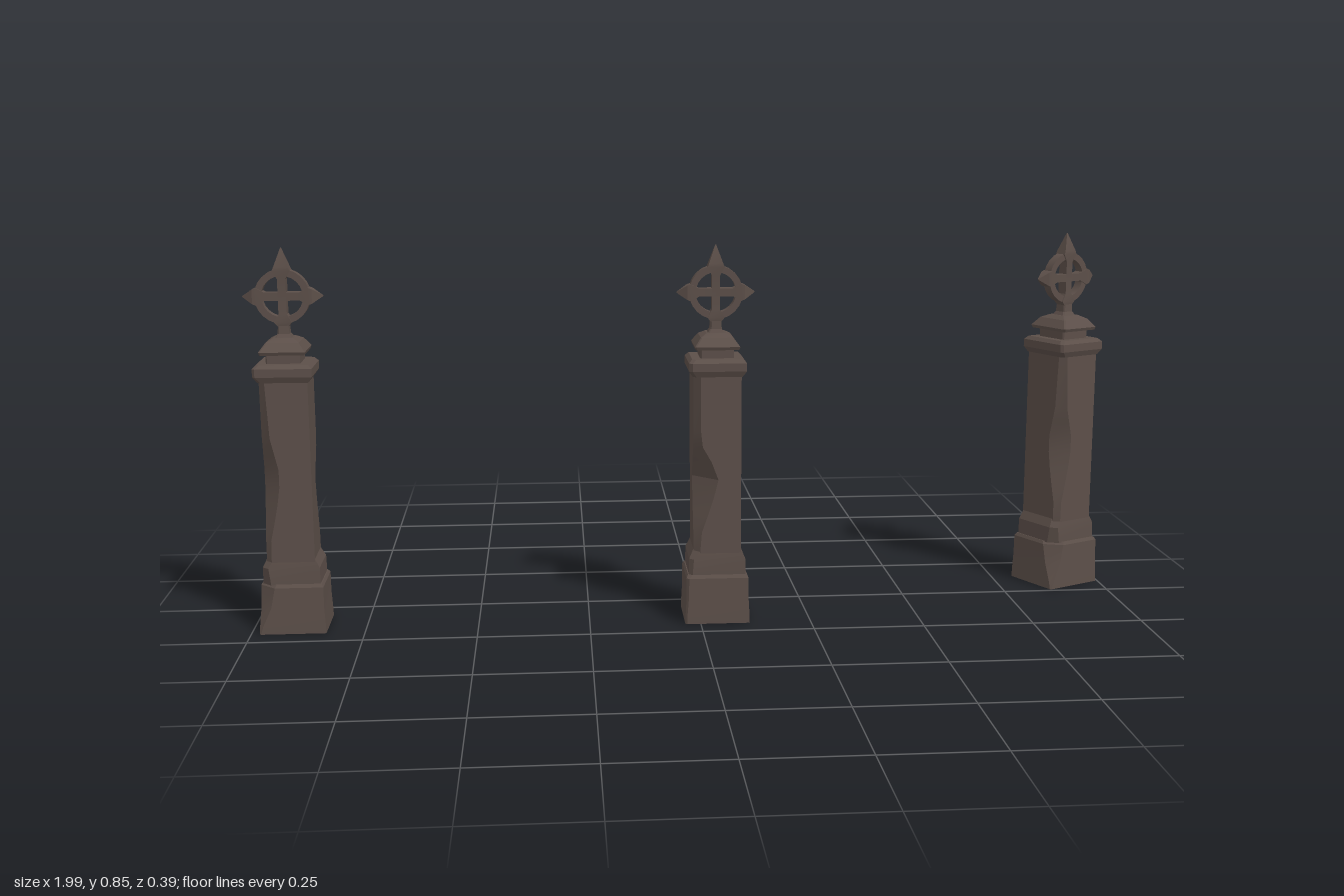
import * as THREE from 'three';
import { toCreasedNormals } from 'three/addons/utils/BufferGeometryUtils.js';

// Loft of rectangular sections [y, halfX, halfZ, chipA, chipB];
// chipA cuts the (-x,+z) corner, chipB the (+x,-z) corner.
function loft(sections) {
  const pos = [], idx = [], n = 6;
  for (const [y, hx, hz, a = 0.003, b = 0.003] of sections) {
    pos.push(hx, y, hz, hx, y, -hz + b, hx - b, y, -hz,
      -hx, y, -hz, -hx, y, hz - a, -hx + a, y, hz);
  }
  for (let i = 0; i < sections.length - 1; i++) {
    for (let j = 0; j < n; j++) {
      const p = i * n + j, q = i * n + (j + 1) % n;
      idx.push(p, q, q + n, p, q + n, p + n);
    }
  }
  const top = (sections.length - 1) * n;
  for (let j = 1; j < n - 1; j++) {
    idx.push(0, j + 1, j, top, top + j, top + j + 1);
  }
  const g = new THREE.BufferGeometry();
  g.setAttribute('position', new THREE.Float32BufferAttribute(pos, 3));
  g.setIndex(idx);
  return toCreasedNormals(g, 0.35);
}

function buildPillar(stone) {
  const pillar = new THREE.Group();
  const add = (name, geometry, parent = pillar) => {
    const mesh = new THREE.Mesh(geometry, stone);
    mesh.name = name;
    parent.add(mesh);
    return mesh;
  };

  // Block base with one worn upper corner and a flared foot
  add('base', loft([
    [0, 0.073, 0.07, 0.003, 0.004],
    [0.018, 0.0725, 0.07, 0.008, 0.004],
    [0.06, 0.07, 0.069, 0.025, 0.005],
    [0.105, 0.07, 0.068, 0.034, 0.006],
    [0.112, 0.066, 0.064, 0.034, 0.01],
  ]));
  add('plinth', loft([
    [0.11, 0.064, 0.061, 0.02, 0.008],
    [0.148, 0.063, 0.061, 0.014, 0.01],
    [0.168, 0.053, 0.058, 0.015, 0.016],
  ]));

  // Shaft with two weathered corners
  add('shaft', loft([
    [0.16, 0.053, 0.059, 0.012, 0.014],
    [0.21, 0.053, 0.059, 0.013, 0.018],
    [0.25, 0.053, 0.059, 0.022, 0.032],
    [0.29, 0.053, 0.059, 0.03, 0.045],
    [0.33, 0.053, 0.059, 0.036, 0.055],
    [0.37, 0.053, 0.059, 0.036, 0.04],
    [0.405, 0.053, 0.059, 0.028, 0.02],
    [0.44, 0.053, 0.059, 0.02, 0.016],
    [0.575, 0.053, 0.059, 0.013, 0.015],
  ]));

  // Cap, neck and sloped collar
  add('cap', loft([
    [0.563, 0.055, 0.06, 0.008, 0.008],
    [0.576, 0.064, 0.066, 0.006, 0.008],
    [0.594, 0.064, 0.066, 0.006, 0.008],
    [0.602, 0.056, 0.058, 0.006, 0.008],
  ]));
  add('neck', loft([[0.598, 0.037, 0.04], [0.626, 0.037, 0.04]]));
  add('collar', loft([
    [0.622, 0.048, 0.054], [0.629, 0.05, 0.057],
    [0.648, 0.036, 0.042], [0.656, 0.022, 0.024],
  ]));
  add('stem', loft([
    [0.653, 0.02, 0.02], [0.664, 0.013, 0.014], [0.69, 0.011, 0.0125],
  ]));

  // Ringed cross
  const cross = new THREE.Group();
  cross.name = 'ringedCross';
  cross.position.y = 0.745;
  pillar.add(cross);
  const profile = [[0.045, -0.011], [0.06, -0.011], [0.06, 0.011], [0.045, 0.011], [0.045, -0.011]];
  const ring = new THREE.LatheGeometry(profile.map(p => new THREE.Vector2(...p)), 24);
  ring.rotateX(Math.PI / 2);
  add('ring', toCreasedNormals(ring, 0.5), cross);

  // Four arms, each flaring at the ring; three end in points
  const tips = [0.105, 0.087, null, 0.087];
  tips.forEach((tip, k) => {
    const arm = [[0, 0.009, 0.0125, 0, 0], [0.038, 0.009, 0.0125, 0, 0], [0.056, 0.019, 0.0145, 0, 0]];
    if (tip) arm.push([0.064, 0.016, 0.014, 0, 0], [tip, 0.001, 0.001, 0, 0]);
    else arm.push([0.066, 0.011, 0.0125, 0, 0]);
    add('crossArm', loft(arm), cross).rotation.z = k * Math.PI / 2;
  });
  return pillar;
}

export function createModel() {
  const model = new THREE.Group();
  model.name = 'stonePillars';
  const stone = new THREE.MeshStandardMaterial({ color: 0x5c4f49 });
  stone.name = 'darkStone';

  // Name, x, z, turn about y
  const places = [
    ['rightPillar', -0.908, 0.125, 0],
    ['middlePillar', 0.038, 0.125, Math.PI],
    ['leftPillar', 0.898, -0.102, 0.47],
  ];
  for (const [name, x, z, turn] of places) {
    const pillar = buildPillar(stone);
    pillar.name = name;
    pillar.position.set(x, 0, z);
    pillar.rotation.y = turn;
    model.add(pillar);
  }
  return model;
}
